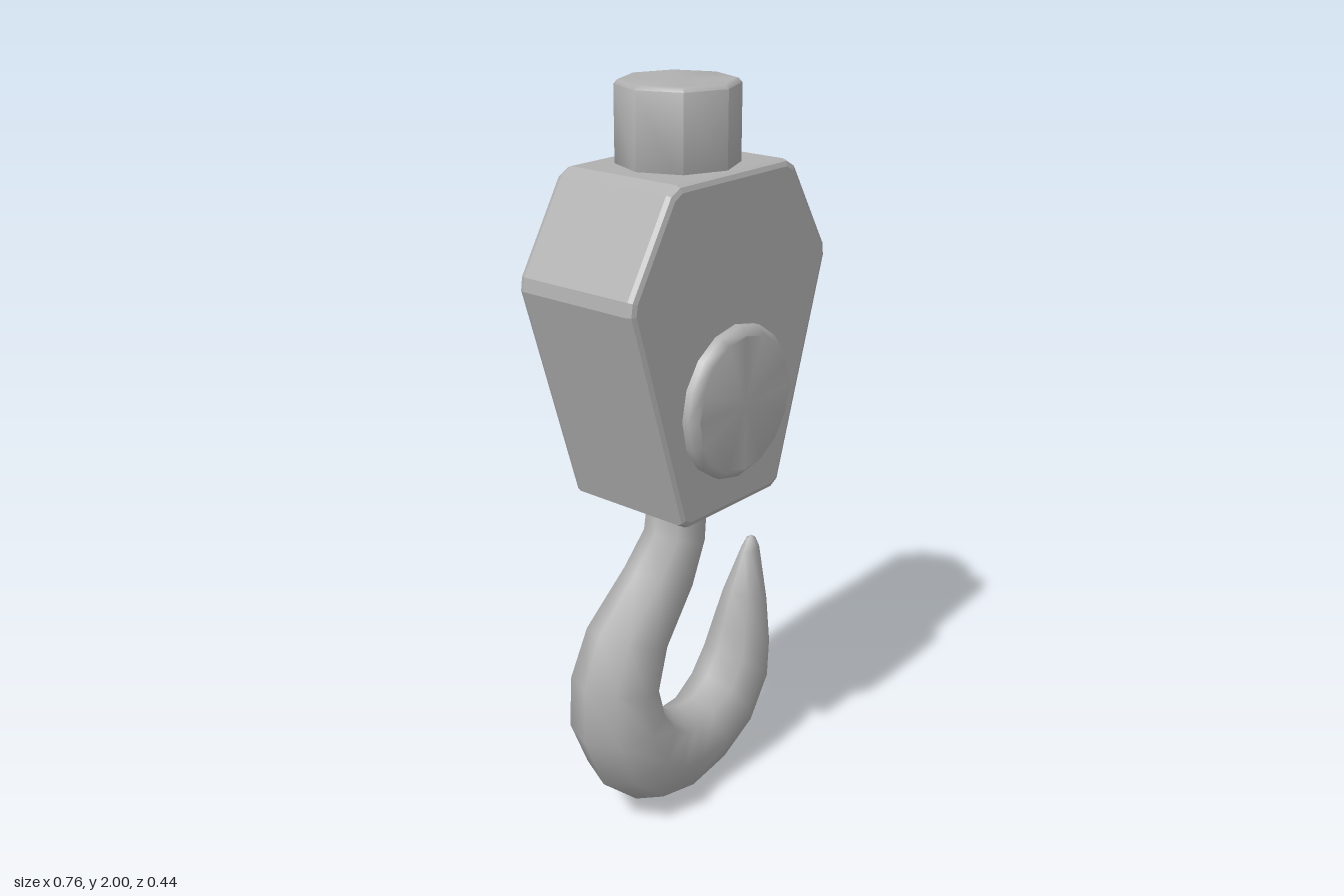
import * as THREE from 'three';
import { toCreasedNormals } from 'three/addons/utils/BufferGeometryUtils.js';

const steel = new THREE.MeshStandardMaterial({ color: 0xb0b0b0 });
steel.name = 'grey steel';

function part(name, geometry) {
  const mesh = new THREE.Mesh(geometry, steel);
  mesh.name = name;
  return mesh;
}

// Round bar along y with chamfered rims
function bar(radius, y0, y1, bevel, sides) {
  const inner = radius - bevel;
  const profile = [
    [0, y0], [inner - 0.005, y0], [inner, y0], [radius, y0 + bevel],
    [radius, y1 - bevel], [inner, y1], [inner - 0.005, y1], [0, y1],
  ].map(([x, y]) => new THREE.Vector2(x, y));
  return toCreasedNormals(new THREE.LatheGeometry(profile, sides), 0.9);
}

// Six-sided housing with clipped corners and bevelled edges
function blockGeometry() {
  const half = [[0.17, 0.93], [0.2, 0.947], [0.378, 1.525], [0.373, 1.56], [0.237, 1.782], [0.203, 1.8]];
  const outline = [...half, ...half.map(([x, y]) => [-x, y]).reverse()];
  const shape = new THREE.Shape(outline.map(([x, y]) => new THREE.Vector2(x, y)));
  const bevel = 0.017, depth = 0.366;
  const geometry = new THREE.ExtrudeGeometry(shape, {
    depth: depth - 2 * bevel, bevelEnabled: true, bevelSize: bevel,
    bevelThickness: bevel, bevelOffset: -bevel, bevelSegments: 2,
  });
  geometry.translate(0, 0, -depth / 2 + bevel);
  return geometry;
}

// Hook skinned through elliptical sections: outer x, y, inner x, y, half width in z
function hookGeometry() {
  const sections = [
    [-0.08, 1.0, 0.08, 1.0, 0.08],
    [-0.08, 0.93, 0.08, 0.93, 0.078],
    [-0.095, 0.83, 0.065, 0.78, 0.083],
    [-0.17, 0.75, 0.01, 0.66, 0.091],
    [-0.315, 0.62, -0.1, 0.525, 0.105],
    [-0.375, 0.49, -0.14, 0.415, 0.115],
    [-0.38, 0.33, -0.12, 0.345, 0.125],
    [-0.31, 0.165, -0.08, 0.3, 0.13],
    [-0.18, 0.05, -0.035, 0.27, 0.115],
    [-0.02, 0.005, 0.005, 0.267, 0.1],
    [0.135, 0.035, 0.06, 0.265, 0.1],
    [0.26, 0.11, 0.13, 0.305, 0.105],
    [0.345, 0.23, 0.175, 0.37, 0.1],
    [0.365, 0.34, 0.2, 0.44, 0.085],
    [0.362, 0.48, 0.235, 0.53, 0.063],
    [0.345, 0.65, 0.29, 0.64, 0.027],
    [0.335, 0.675, 0.308, 0.672, 0.014],
    [0.325, 0.682, 0.325, 0.682, 0],
  ];
  const sides = 8, positions = [], index = [];
  sections.forEach(([ox, oy, ix, iy, width], i) => {
    for (let j = 0; j < sides; j++) {
      const a = (j / sides) * Math.PI * 2;
      const k = (1 + Math.cos(a)) / 2;
      positions.push(ox + (ix - ox) * k, oy + (iy - oy) * k, width * Math.sin(a));
      if (i === sections.length - 1) continue;
      const p = i * sides + j, q = i * sides + ((j + 1) % sides);
      index.push(p, q, p + sides, q, q + sides, p + sides);
    }
  });
  const geometry = new THREE.BufferGeometry();
  geometry.setAttribute('position', new THREE.Float32BufferAttribute(positions, 3));
  geometry.setIndex(index);
  geometry.computeVertexNormals();
  return geometry;
}

export function createModel() {
  const model = new THREE.Group();
  model.name = 'craneHook';

  model.add(part('block', blockGeometry()));
  model.add(part('topShaft', bar(0.155, 1.75, 2, 0.01, 8)));

  // Pin runs through the block and shows on both faces
  const pin = part('crossPin', bar(0.2, -0.221, 0.221, 0.02, 16));
  pin.rotation.x = Math.PI / 2;
  pin.position.y = 1.225;
  model.add(pin);

  model.add(part('hook', hookGeometry()));
  return model;
}
